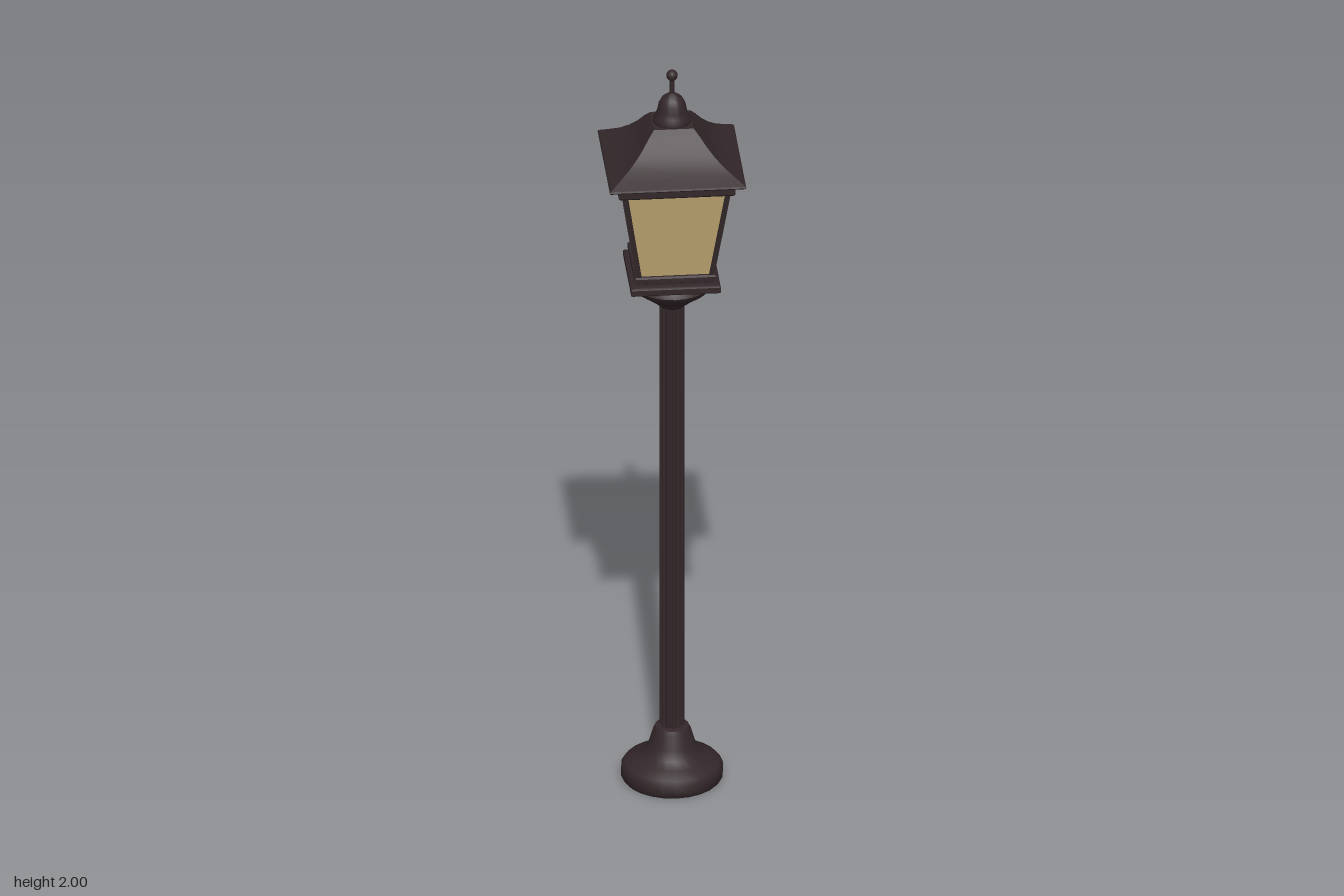
import * as THREE from 'three';
import { toCreasedNormals } from 'three/addons/utils/BufferGeometryUtils.js';

const metal = new THREE.MeshStandardMaterial({ color: 0x33272a });
metal.name = 'dark metal';
const glass = new THREE.MeshStandardMaterial({ color: 0xbfa673, side: THREE.DoubleSide });
glass.name = 'amber glass';

export function createModel() {
  const group = new THREE.Group();

  function add(name, geometry, material = metal) {
    const mesh = new THREE.Mesh(geometry, material);
    mesh.name = name;
    group.add(mesh);
    return mesh;
  }
  const vectors = (points) => points.map(([r, y]) => new THREE.Vector2(r, y));

  // Round part turned from a [radius, height] profile, listed bottom to top
  function turned(name, points, segments = 24) {
    return add(name, toCreasedNormals(new THREE.LatheGeometry(vectors(points), segments), 0.7));
  }
  // Square part from a [half width, height] profile
  function square(name, points, material = metal) {
    const profile = vectors(points.map(([w, y]) => [w * Math.SQRT2, y]));
    const geometry = new THREE.LatheGeometry(profile, 4, Math.PI / 4);
    return add(name, toCreasedNormals(geometry, 0.55), material);
  }

  // Foot
  turned('foot', [[0, 0], [0.122, 0], [0.128, 0.008], [0.128, 0.036], [0.12, 0.047], [0.09, 0.06],
    [0.07, 0.075], [0.058, 0.1], [0.048, 0.135], [0.042, 0.147], [0.03, 0.15], [0, 0.15]]);

  // Fluted pole
  const flutes = 12;
  const outline = [];
  for (let i = 0; i < flutes * 4; i++) {
    const a = (i / (flutes * 4)) * Math.PI * 2;
    const r = i % 4 < 2 ? 0.031 : 0.027;
    outline.push(new THREE.Vector2(Math.cos(a) * r, Math.sin(a) * r));
  }
  const pole = new THREE.ExtrudeGeometry(new THREE.Shape(outline), { depth: 1.22, bevelEnabled: false });
  pole.rotateX(-Math.PI / 2).translate(0, 0.14, 0);
  add('pole', pole);

  // Bowl carrying the lantern
  turned('bowl', [[0, 1.337], [0.032, 1.337], [0.04, 1.345], [0.06, 1.362], [0.077, 1.374],
    [0.093, 1.386], [0.1, 1.4], [0.094, 1.411], [0.08, 1.424], [0, 1.424]]);

  // Stepped lantern floor
  square('lanternFloor', [[0, 1.419], [0.108, 1.419], [0.113, 1.423], [0.113, 1.437], [0.108, 1.441],
    [0.098, 1.443], [0.098, 1.449], [0.103, 1.452], [0.103, 1.463], [0.098, 1.467], [0, 1.467]]);

  // Glass panes
  square('glassPanes', [[0.092, 1.465], [0.131, 1.716]], glass);

  // Leaning corner posts
  for (const sx of [-1, 1]) {
    for (const sz of [-1, 1]) {
      const post = new THREE.BoxGeometry(0.013, 0.255, 0.013);
      const p = post.attributes.position;
      for (let i = 0; i < p.count; i++) {
        const centre = p.getY(i) < 0 ? 0.091 : 0.13;
        p.setX(i, p.getX(i) + sx * centre);
        p.setZ(i, p.getZ(i) + sz * centre);
      }
      post.translate(0, 1.59, 0);
      post.computeVertexNormals();
      add('cornerPost', post);
    }
  }

  // Rim above the glass
  square('upperRim', [[0, 1.711], [0.142, 1.711], [0.147, 1.716], [0.147, 1.732], [0.142, 1.737], [0, 1.74]]);

  // Flared roof
  square('roof', [[0, 1.737], [0.142, 1.737], [0.17, 1.743], [0.172, 1.746], [0.17, 1.75], [0.145, 1.765],
    [0.12, 1.781], [0.098, 1.8], [0.08, 1.82], [0.064, 1.842], [0.05, 1.858], [0, 1.858]]);

  // Finial with rod and ball
  turned('finial', [[0, 1.85], [0.044, 1.85], [0.048, 1.857], [0.048, 1.867], [0.041, 1.878],
    [0.037, 1.89], [0.034, 1.907], [0.026, 1.922], [0.013, 1.932], [0.006, 1.937], [0.006, 1.975]]);
  add('finialBall', new THREE.SphereGeometry(0.0145, 16, 12)).position.y = 1.9855;

  return group;
}
